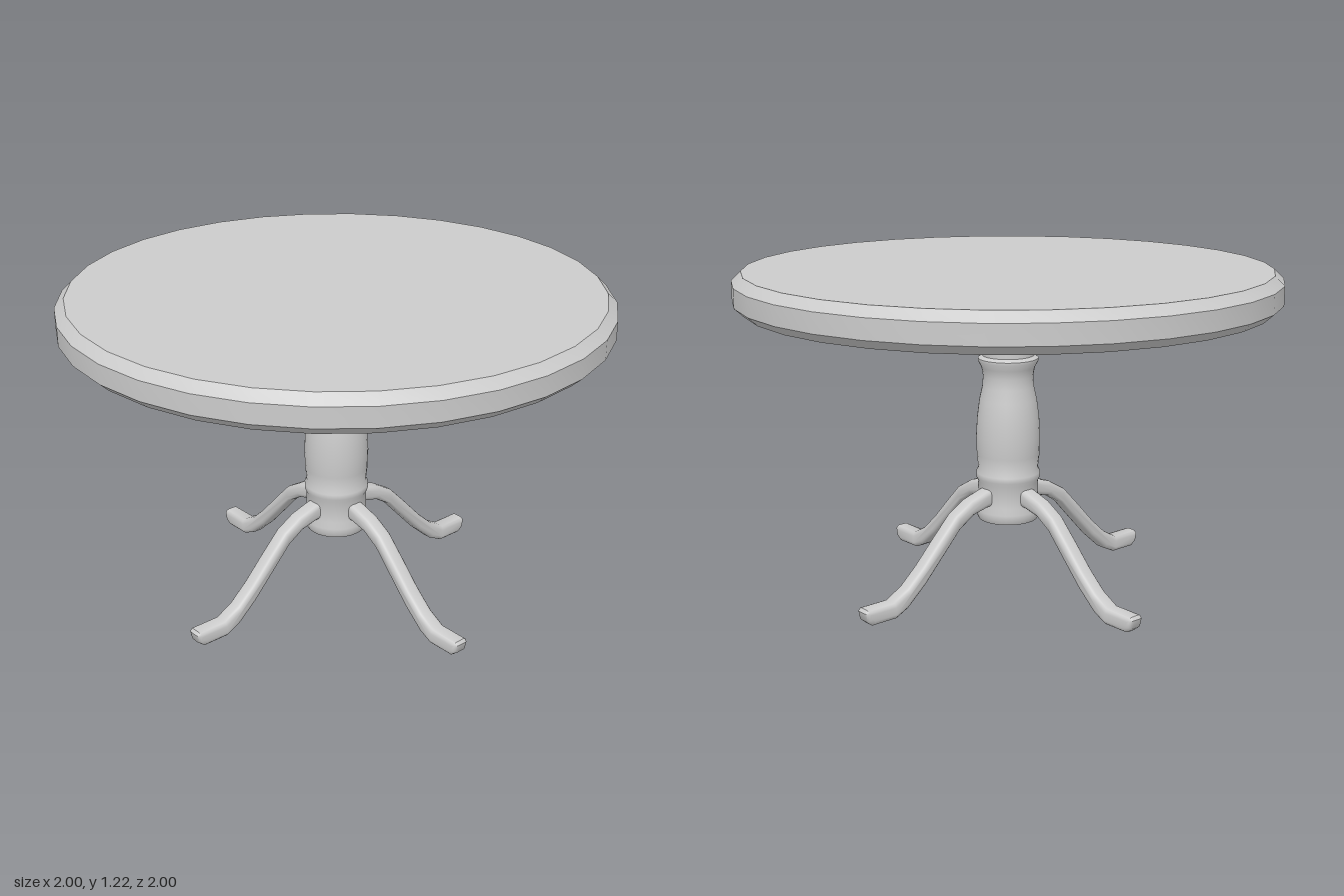
import * as THREE from 'three';
import { toCreasedNormals } from 'three/addons/utils/BufferGeometryUtils.js';

const material = new THREE.MeshStandardMaterial({ color: 0xcccccc });
const vectors = (pairs) => pairs.map(([x, y]) => new THREE.Vector2(x, y));

function addMesh(parent, name, geometry, crease) {
  const mesh = new THREE.Mesh(toCreasedNormals(geometry, crease), material);
  mesh.name = name;
  parent.add(mesh);
  return mesh;
}

// Side outline in x/y, given thickness along z with softened edges
function softSlab(shape, thickness, bevel) {
  const geometry = new THREE.ExtrudeGeometry(shape, {
    depth: thickness - 2 * bevel,
    bevelThickness: bevel,
    bevelSize: bevel,
    bevelOffset: -bevel,
    bevelSegments: 3,
    curveSegments: 4,
  });
  return geometry.translate(0, 0, -thickness / 2 + bevel);
}

export function createModel() {
  const table = new THREE.Group();
  table.name = 'pedestalTable';

  // Round top, chamfered above and below
  const topProfile = vectors([[0, 1.09], [0.965, 1.09], [1, 1.122], [1, 1.193], [0.965, 1.227], [0, 1.227]]);
  addMesh(table, 'tableTop', new THREE.LatheGeometry(topProfile, 32), 0.5);

  // Turned column
  const columnProfile = vectors([
    [0, 0.268], [0.113, 0.268], [0.121, 0.285], [0.121, 0.305], [0.115, 0.33], [0.114, 0.415],
    [0.121, 0.43], [0.121, 0.45], [0.113, 0.465], [0.119, 0.52], [0.121, 0.59], [0.117, 0.66],
    [0.108, 0.73], [0.097, 0.78], [0.094, 0.82], [0.1, 0.853], [0.113, 0.878], [0.113, 0.888],
    [0.097, 0.898], [0.097, 1.095],
  ]);
  addMesh(table, 'column', new THREE.LatheGeometry(columnProfile, 32), 0.8);

  // S-curved leg outline: along the upper edge to the foot, back along the lower edge
  const legShape = new THREE.Shape(vectors([
    [0.04, 0.405], [0.12, 0.397], [0.2, 0.372], [0.272, 0.33], [0.35, 0.25], [0.43, 0.165],
    [0.5, 0.102], [0.565, 0.066], [0.68, 0.066], [0.69, 0.055], [0.683, 0.022], [0.66, 0.003],
    [0.555, 0.003], [0.5, 0.03], [0.42, 0.1], [0.33, 0.195], [0.255, 0.275], [0.19, 0.316],
    [0.12, 0.333], [0.04, 0.335],
  ]));
  const legGeometry = softSlab(legShape, 0.066, 0.018);

  // Support arm under the top, rounded at its lower outer corner
  const armShape = new THREE.Shape();
  armShape.moveTo(0.04, 1.1);
  armShape.lineTo(0.04, 1);
  armShape.lineTo(0.225, 1);
  armShape.quadraticCurveTo(0.264, 1.003, 0.264, 1.045);
  armShape.lineTo(0.264, 1.1);
  const armGeometry = softSlab(armShape, 0.058, 0.012);

  // Four legs and four arms around the column
  for (let i = 0; i < 4; i++) {
    addMesh(table, 'leg', legGeometry, 0.8).rotation.y = i * Math.PI / 2;
    addMesh(table, 'supportArm', armGeometry, 0.7).rotation.y = i * Math.PI / 2;
  }
  return table;
}
